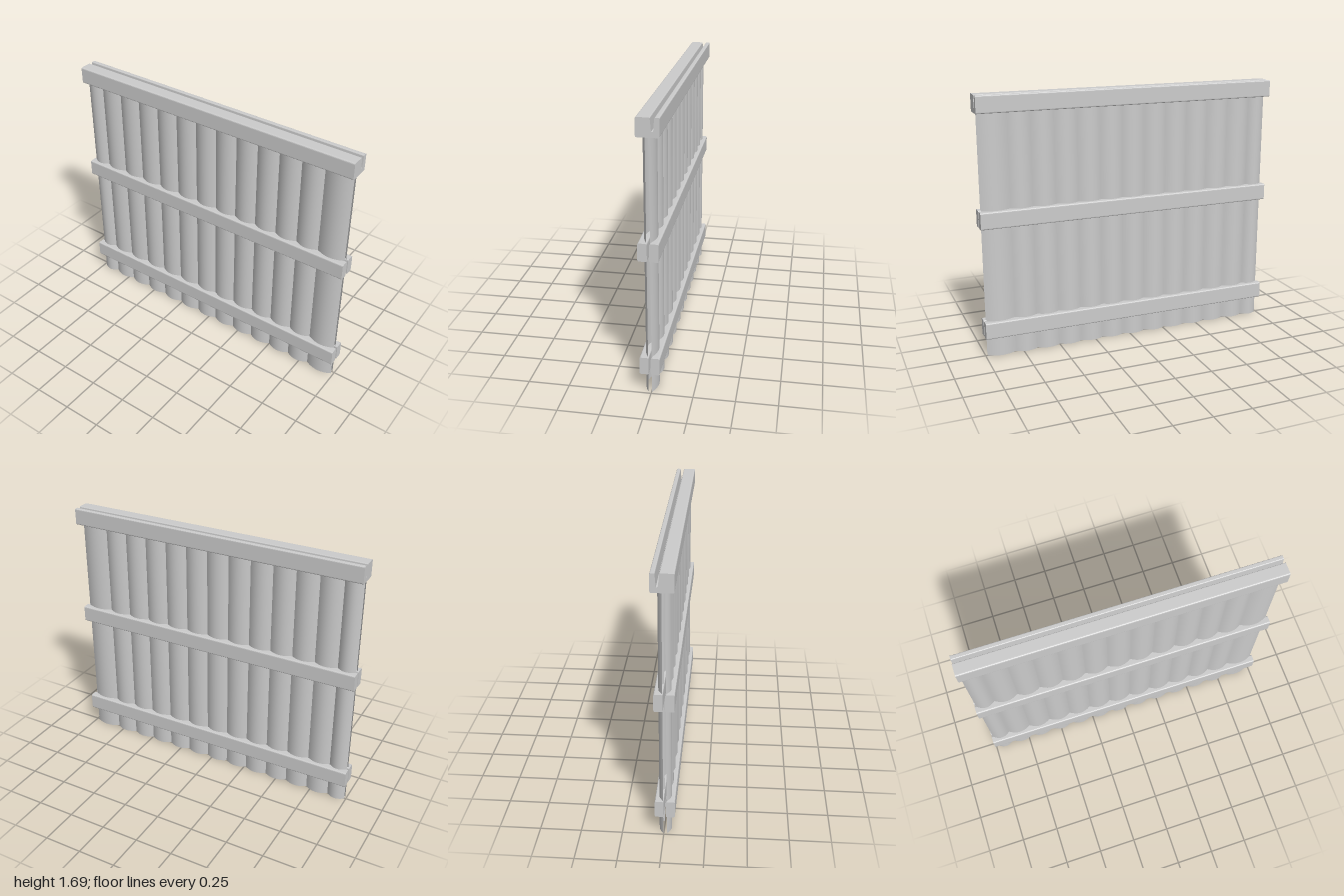
import * as THREE from 'three';

const material = new THREE.MeshStandardMaterial({ color: 0xcccccc });
const sheetMaterial = new THREE.MeshStandardMaterial({ color: 0xcccccc, side: THREE.DoubleSide });

// Extrudes a (z, y) outline along x, rounding each corner by its radius: [z, y, radius]
function makeRail(name, corners) {
  const pts = corners.map(([z, y]) => new THREE.Vector2(-z, y));
  const n = pts.length;
  const shape = new THREE.Shape();
  corners.forEach(([, , r], i) => {
    const p = pts[i];
    const towards = (q) => p.clone().add(q.clone().sub(p).setLength(r));
    const a = towards(pts[(i + n - 1) % n]);
    const b = towards(pts[(i + 1) % n]);
    if (i === 0) shape.moveTo(a.x, a.y);
    else shape.lineTo(a.x, a.y);
    shape.quadraticCurveTo(p.x, p.y, b.x, b.y);
  });
  shape.closePath();
  const geometry = new THREE.ExtrudeGeometry(shape, { depth: 2, bevelEnabled: false, curveSegments: 4 });
  geometry.translate(0, 0, -1).rotateY(Math.PI / 2);
  const mesh = new THREE.Mesh(geometry, material);
  mesh.name = name;
  return mesh;
}

const boxRail = (name, z0, z1, y0, y1) =>
  makeRail(name, [[z1, y0, 0.01], [z0, y0, 0.01], [z0, y1, 0.01], [z1, y1, 0.01]]);

// Thin upright board bowed outwards from zEdge by the given amount
function makeBoard(name, x0, x1, zEdge, bow, height) {
  const geometry = new THREE.PlaneGeometry(x1 - x0, height, 14, 1);
  const pos = geometry.attributes.position;
  const half = (x1 - x0) / 2;
  for (let i = 0; i < pos.count; i++) {
    const t = pos.getX(i) / half;
    pos.setZ(i, zEdge + bow * (1 - t * t));
  }
  geometry.translate((x0 + x1) / 2, height / 2, 0);
  geometry.computeVertexNormals();
  const mesh = new THREE.Mesh(geometry, sheetMaterial);
  mesh.name = name;
  return mesh;
}

export function createModel() {
  const model = new THREE.Group();
  model.name = 'fencePanel';

  // Two layers of bowed boards, sharing the same seams
  const seams = [-0.99];
  for (let i = 0; i < 12; i++) seams.push(-0.87 + i * 0.152);
  seams.push(0.985);
  const frontBoards = new THREE.Group();
  const backBoards = new THREE.Group();
  frontBoards.name = 'frontBoards';
  backBoards.name = 'backBoards';
  for (let i = 0; i < seams.length - 1; i++) {
    frontBoards.add(makeBoard('frontBoard', seams[i], seams[i + 1], 0.018, 0.027, 1.6));
    backBoards.add(makeBoard('backBoard', seams[i], seams[i + 1], -0.003, -0.027, 1.6));
  }
  model.add(frontBoards, backBoards);

  // Paired cross rails clamping the boards
  for (const [level, y] of [['lower', 0.13], ['middle', 0.86]]) {
    model.add(boxRail(level + 'FrontRail', 0.013, 0.067, y, y + 0.11));
    model.add(boxRail(level + 'BackRail', -0.053, 0, y, y + 0.11));
  }

  // Top rail with a tapered groove along its upper face
  model.add(makeRail('topRail', [
    [0.067, 1.58, 0.01], [-0.065, 1.58, 0.01], [-0.065, 1.69, 0.008], [-0.037, 1.69, 0.006],
    [-0.031, 1.612, 0.003], [-0.02, 1.612, 0.003], [-0.013, 1.69, 0.006], [0.067, 1.69, 0.01],
  ]));

  return model;
}
